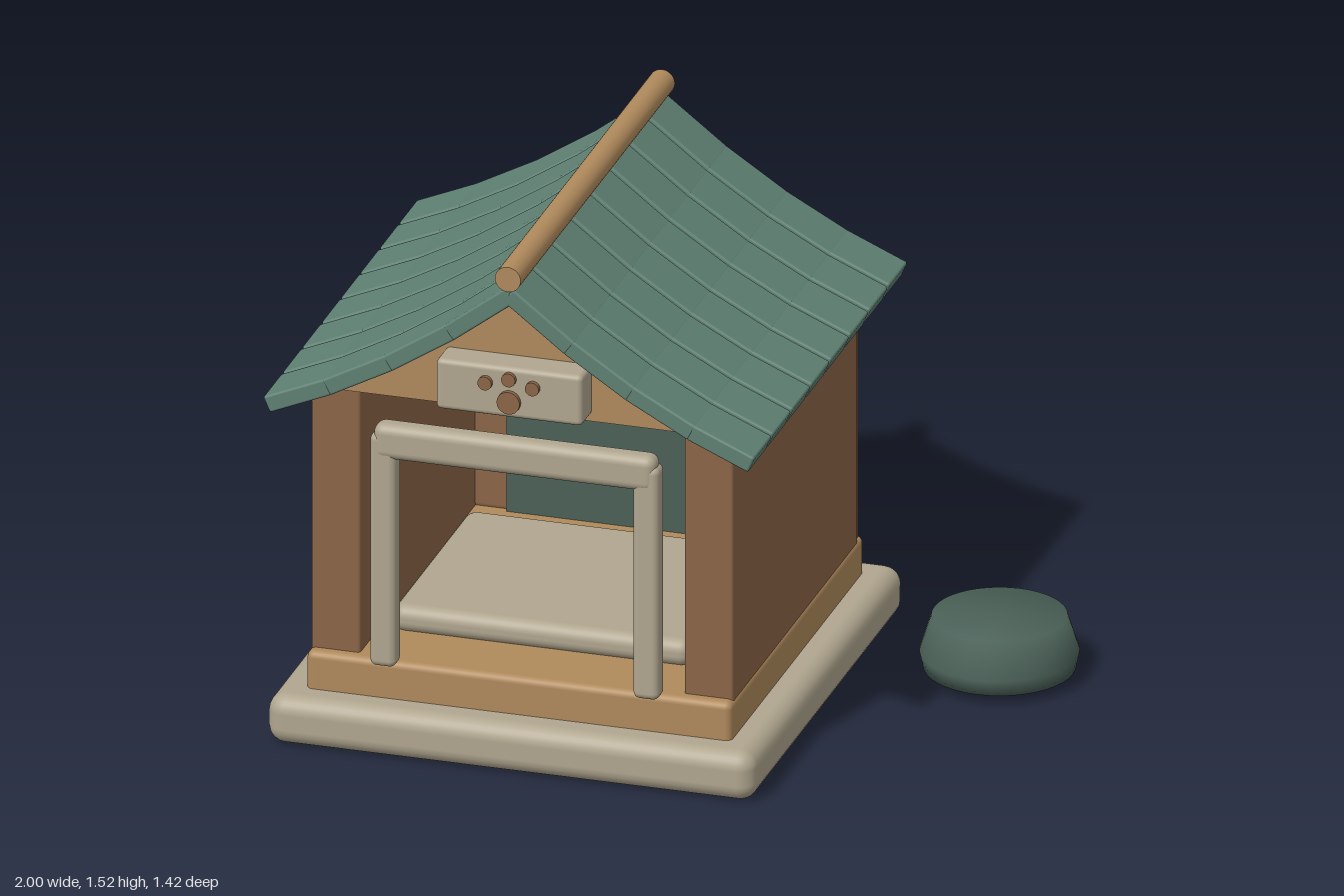
import * as THREE from 'three';
import { RoundedBoxGeometry } from 'three/addons/geometries/RoundedBoxGeometry.js';

const mat = (name, color, side = THREE.FrontSide) => {
  const m = new THREE.MeshStandardMaterial({ color, side });
  m.name = name;
  return m;
};

export function createModel() {
  const model = new THREE.Group();
  model.name = 'petHouse';
  const stone = mat('stoneBeige', 0xb0a68f);
  const wood = mat('lightWood', 0xb08a5c);
  const brown = mat('wallBrown', 0x8b6547);
  const tileGreen = mat('tileGreen', 0x5f8073);
  const darkGreen = mat('darkGreen', 0x4a6057);
  const CX = -0.3; // centre line of the house

  const add = (name, geometry, material, parent = model) => {
    const mesh = new THREE.Mesh(geometry, material);
    mesh.name = name;
    parent.add(mesh);
    return mesh;
  };
  // Rounded box given by its limits on each axis
  const block = (name, material, [x0, x1], [y0, y1], [z0, z1], r, parent = model) => {
    const mesh = add(name, new RoundedBoxGeometry(x1 - x0, y1 - y0, z1 - z0, 3, r), material, parent);
    mesh.position.set((x0 + x1) / 2, (y0 + y1) / 2, (z0 + z1) / 2);
    return mesh;
  };

  // Plinth and floor
  block('plinth', stone, [-1, 0.4], [0, 0.145], [-0.7, 0.7], 0.05);
  block('floor', wood, [-0.91, 0.31], [0.11, 0.255], [-0.61, 0.61], 0.02);

  // Walls
  block('rightWall', brown, [-0.905, -0.765], [0.24, 1.05], [-0.57, 0.575], 0.008);
  block('leftWall', brown, [0.165, 0.305], [0.24, 1.05], [-0.57, 0.575], 0.008);
  block('backWall', brown, [-0.903, 0.303], [0.24, 1.05], [-0.6, -0.48], 0.025);

  // Arched panel on the inside of the back wall
  const arch = new THREE.Shape();
  arch.moveTo(-0.37, 0.25);
  arch.lineTo(0.37, 0.25);
  arch.lineTo(0.37, 0.62);
  arch.absarc(0, 0.62, 0.37, 0, Math.PI, false);
  arch.closePath();
  add('archPanel', new THREE.ExtrudeGeometry(arch, { depth: 0.02, bevelEnabled: false, curveSegments: 24 }), darkGreen)
    .position.set(CX, 0, -0.485);

  block('cushion', stone, [-0.73, 0.13], [0.25, 0.33], [-0.3, 0.41], 0.035);

  // Doorway frame
  const frame = new THREE.Group();
  frame.name = 'doorFrame';
  model.add(frame);
  block('rightPost', stone, [-0.715, -0.64], [0.255, 0.95], [0.593, 0.657], 0.02, frame);
  block('leftPost', stone, [0.04, 0.115], [0.255, 0.95], [0.593, 0.657], 0.02, frame);
  block('lintel', stone, [-0.705, 0.105], [0.875, 0.98], [0.59, 0.66], 0.028, frame);

  // Gable block that carries the roof
  const under = [[0, 1.405], [0.175, 1.272], [0.35, 1.16], [0.525, 1.068], [0.605, 1.045]];
  const gable = new THREE.Shape([
    ...under.map(([x, y]) => new THREE.Vector2(-x, y)),
    ...under.slice(1).reverse().map(([x, y]) => new THREE.Vector2(x, y)),
  ]);
  add('gable', new THREE.ExtrudeGeometry(gable, { depth: 1.2, bevelEnabled: false }), wood).position.set(CX, 0, -0.6);

  // Curved roof of separate tiles, 4 down each slope and 8 along
  const roof = new THREE.Group();
  roof.name = 'roofTiles';
  model.add(roof);
  const line = [[0, 1.432], [0.172, 1.3], [0.347, 1.186], [0.522, 1.092], [0.692, 1.019]];
  for (let s = 0; s < 4; s++) {
    const [x0, y0] = line[s], [x1, y1] = line[s + 1];
    const geo = new RoundedBoxGeometry(Math.hypot(x1 - x0, y1 - y0) + 0.008, 0.05, 0.164, 2, 0.007);
    for (const side of [-1, 1]) {
      for (let i = 0; i < 8; i++) {
        const tile = add('roofTile', geo, tileGreen, roof);
        tile.position.set(CX + side * (x0 + x1) / 2, (y0 + y1) / 2, (i - 3.5) * 0.1777 - 0.004);
        tile.rotation.z = side * Math.atan2(y1 - y0, x1 - x0);
      }
    }
  }

  const ridge = add('ridgePole', new THREE.CylinderGeometry(0.037, 0.037, 1.415, 24), wood);
  ridge.rotation.x = Math.PI / 2;
  ridge.position.set(CX, 1.486, 0);

  // Sign with a pad and three toes
  const sign = new THREE.Group();
  sign.name = 'sign';
  model.add(sign);
  block('signBoard', stone, [-0.512, -0.092], [1.065, 1.215], [0.59, 0.692], 0.015, sign);
  for (const [x, y, r] of [[0, 1.115, 0.033], [-0.068, 1.165, 0.02], [0, 1.183, 0.02], [0.068, 1.165, 0.02]]) {
    const dot = add('pawDot', new THREE.CylinderGeometry(r, r, 0.02, 20), brown, sign);
    dot.rotation.x = Math.PI / 2;
    dot.position.set(CX + x, y, 0.695);
  }

  // Food bowl beside the house
  const profile = [[0, 0.03], [0.21, 0.028], [0.22, 0.075], [0.187, 0.18], [0, 0.175]]
    .map(([x, y]) => new THREE.Vector2(x, y));
  add('bowl', new THREE.LatheGeometry(profile, 40), darkGreen).position.set(0.777, 0, -0.36);

  return model;
}
